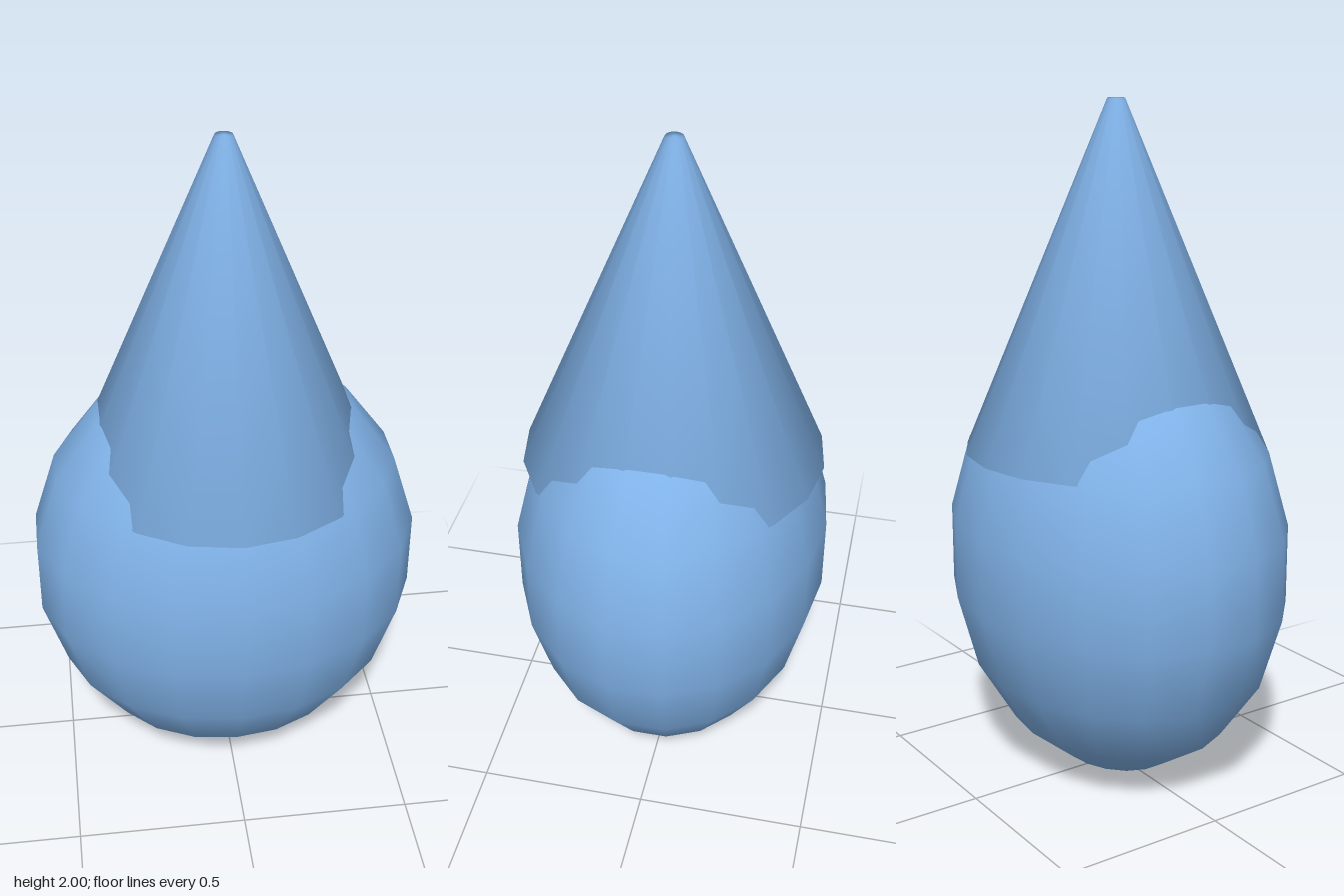
import * as THREE from 'three';
import { mergeVertices } from 'three/addons/utils/BufferGeometryUtils.js';

// Weld all corners so the shading runs smoothly over every edge
function weld(geometry) {
  geometry.deleteAttribute('uv');
  geometry.deleteAttribute('normal');
  const welded = mergeVertices(geometry, 1e-4);
  welded.computeVertexNormals();
  return welded;
}

export function createModel() {
  const model = new THREE.Group();
  const material = new THREE.MeshStandardMaterial({ color: 0x80b2e8 });

  const add = (name, geometry) => {
    const mesh = new THREE.Mesh(weld(geometry), material);
    mesh.name = name;
    model.add(mesh);
  };

  // Egg-shaped head: a coarse sphere, wider than it is deep
  const head = new THREE.SphereGeometry(1, 18, 9);
  head.rotateY(Math.PI / 2);
  head.scale(0.583, 0.67, 0.472);
  head.translate(0, 0.67, 0);
  add('head', head);

  // Tall pointed hat with a tiny flat tip and a closed base
  const hat = new THREE.CylinderGeometry(0.025, 0.445, 1, 18);
  hat.translate(0, 1.5, 0);
  add('hat', hat);

  return model;
}
